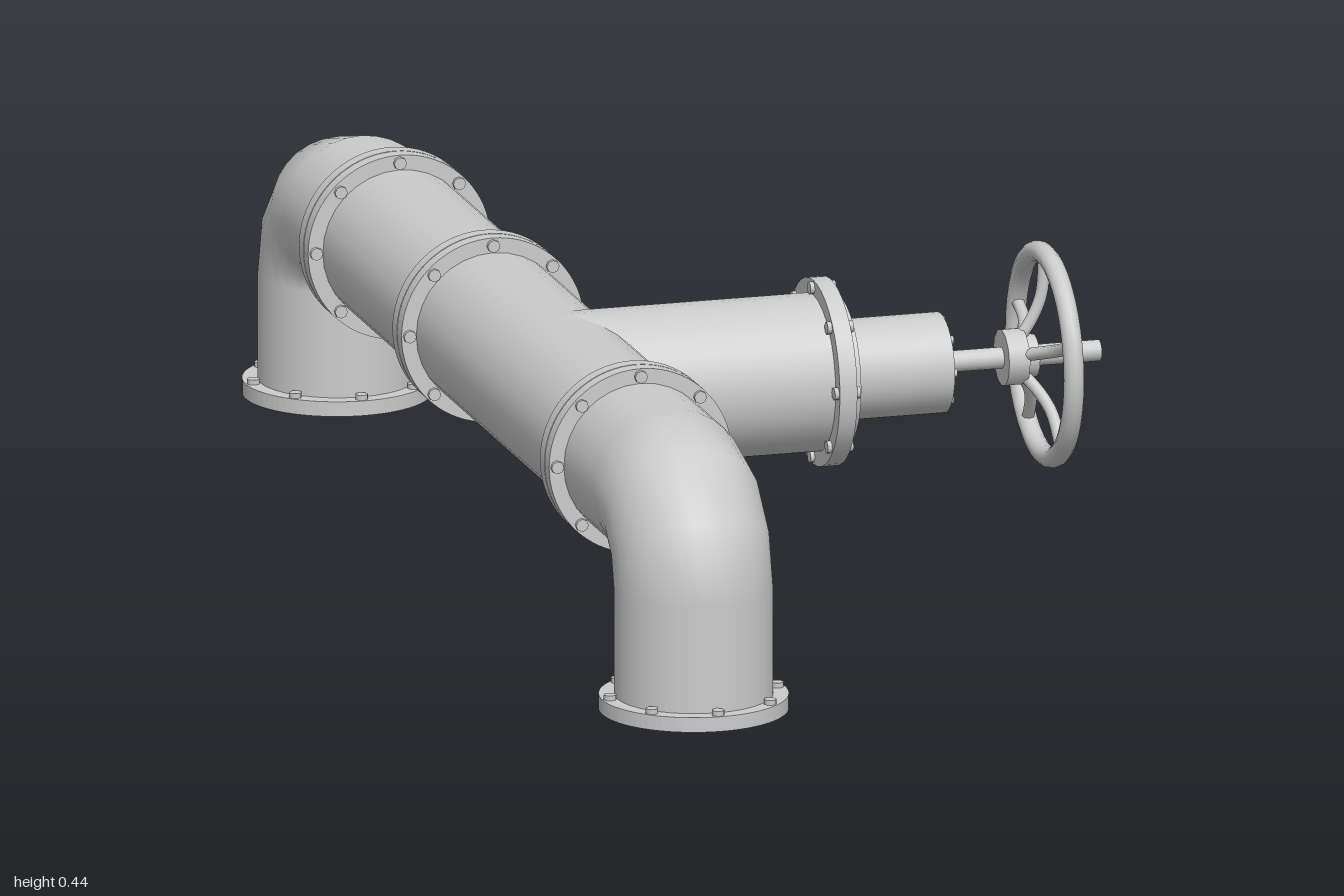
import * as THREE from 'three';

const PIPE_R = 0.11, FLANGE_R = 0.131, AXIS_X = -0.32, AXIS_Y = 0.285;
const BEND_R = 0.115, END_Z = 0.87, BRANCH_Z = 0.228;

export function createModel() {
  const model = new THREE.Group();
  const mat = new THREE.MeshStandardMaterial({ color: 0xcccccc, side: THREE.DoubleSide });

  const add = (parent, name, geometry) => {
    const mesh = new THREE.Mesh(geometry, mat);
    mesh.name = name;
    parent.add(mesh);
    return mesh;
  };
  const group = (parent, name) => {
    const g = new THREE.Group();
    g.name = name;
    parent.add(g);
    return g;
  };

  // Cylinder along +y from y0 to y1
  const rod = (parent, name, r, y0, y1, sides = 32, open = false) =>
    add(parent, name, new THREE.CylinderGeometry(r, r, y1 - y0, sides, 1, open).translate(0, (y0 + y1) / 2, 0));

  // Ring of bolts around the y axis
  const boltRing = (parent, count, ringR, boltR, y0, y1) => {
    for (let i = 0; i < count; i++) {
      const a = (i / count) * Math.PI * 2;
      const bolt = rod(parent, 'bolt', boltR, y0, y1, 8);
      bolt.position.set(Math.cos(a) * ringR, 0, Math.sin(a) * ringR);
    }
  };

  // Hollow collar around the y axis, with a crisp rim
  const collar = (parent, name, outer, y0, y1) => {
    const inner = 0.104, shape = new THREE.Shape();
    shape.absarc(0, 0, outer, 0, Math.PI * 2);
    const hole = new THREE.Path();
    hole.absarc(0, 0, inner, 0, Math.PI * 2, true);
    shape.holes.push(hole);
    const geo = new THREE.ExtrudeGeometry(shape, { depth: y1 - y0, bevelEnabled: false, curveSegments: 40 });
    return add(parent, name, geo.rotateX(-Math.PI / 2).translate(0, y0, 0));
  };

  // Main run of pipe with its paired joint flanges
  const run = group(model, 'mainRun');
  run.position.set(AXIS_X, AXIS_Y, 0);
  run.rotation.x = Math.PI / 2;
  const bendZ = END_Z - BEND_R;
  rod(run, 'mainPipe', PIPE_R, -bendZ, bendZ, 32, true);
  for (const z of [0.588, -0.132, -0.588]) {
    const joint = group(run, 'pipeJoint');
    joint.position.y = z;
    collar(joint, 'jointFlange', FLANGE_R, -0.0225, -0.001);
    collar(joint, 'jointFlange', FLANGE_R, 0.001, 0.0225);
    boltRing(joint, 8, 0.12, 0.009, -0.028, 0.028);
  }

  // Elbow, leg and foot flange at each end
  for (const side of [1, -1]) {
    const end = group(model, side > 0 ? 'frontEnd' : 'backEnd');
    end.position.x = AXIS_X;
    const elbow = add(end, 'elbow', new THREE.TorusGeometry(BEND_R, PIPE_R, 32, 3, Math.PI / 2));
    elbow.rotation.y = -side * Math.PI / 2;
    elbow.position.set(0, AXIS_Y - BEND_R, side * bendZ);
    const leg = group(end, 'leg');
    leg.position.z = side * END_Z;
    rod(leg, 'legPipe', PIPE_R, 0.005, AXIS_Y - BEND_R, 32, true);
    collar(leg, 'footFlange', FLANGE_R, 0, 0.021);
    boltRing(leg, 8, 0.12, 0.009, 0.004, 0.028);
  }

  // Side branch: local +y points along +x, measured from x = 0
  const branch = group(model, 'valveBranch');
  branch.position.set(0, AXIS_Y, BRANCH_Z);
  branch.rotation.z = -Math.PI / 2;
  rod(branch, 'branchPipe', PIPE_R, AXIS_X, 0.045, 32, true);
  rod(branch, 'branchFlange', FLANGE_R, 0.04, 0.065, 40);
  boltRing(branch, 8, 0.12, 0.009, 0.034, 0.071);
  rod(branch, 'bonnetPlate', 0.106, 0.065, 0.078, 40);
  rod(branch, 'bonnet', 0.07, 0.078, 0.223);
  boltRing(branch, 8, 0.06, 0.006, 0.215, 0.228);
  rod(branch, 'valveStem', 0.015, 0.22, 0.45, 16);

  // Handwheel with five dished spokes
  const wheel = group(branch, 'handwheel');
  rod(wheel, 'hub', 0.04, 0.31, 0.34, 12);
  rod(wheel, 'hubCollar', 0.03, 0.34, 0.357, 16);
  const rim = add(wheel, 'rim', new THREE.TorusGeometry(0.143, 0.0145, 12, 40));
  rim.rotation.x = Math.PI / 2;
  rim.position.y = 0.372;
  const spokePath = new THREE.CatmullRomCurve3([
    new THREE.Vector3(-0.025, 0.335, 0),
    new THREE.Vector3(-0.05, 0.352, 0),
    new THREE.Vector3(-0.085, 0.367, 0),
    new THREE.Vector3(-0.143, 0.372, 0),
  ]);
  const spokeGeo = new THREE.TubeGeometry(spokePath, 10, 0.009, 8);
  for (let i = 0; i < 5; i++) {
    add(wheel, 'spoke', spokeGeo).rotation.y = (i / 5) * Math.PI * 2;
  }

  return model;
}
